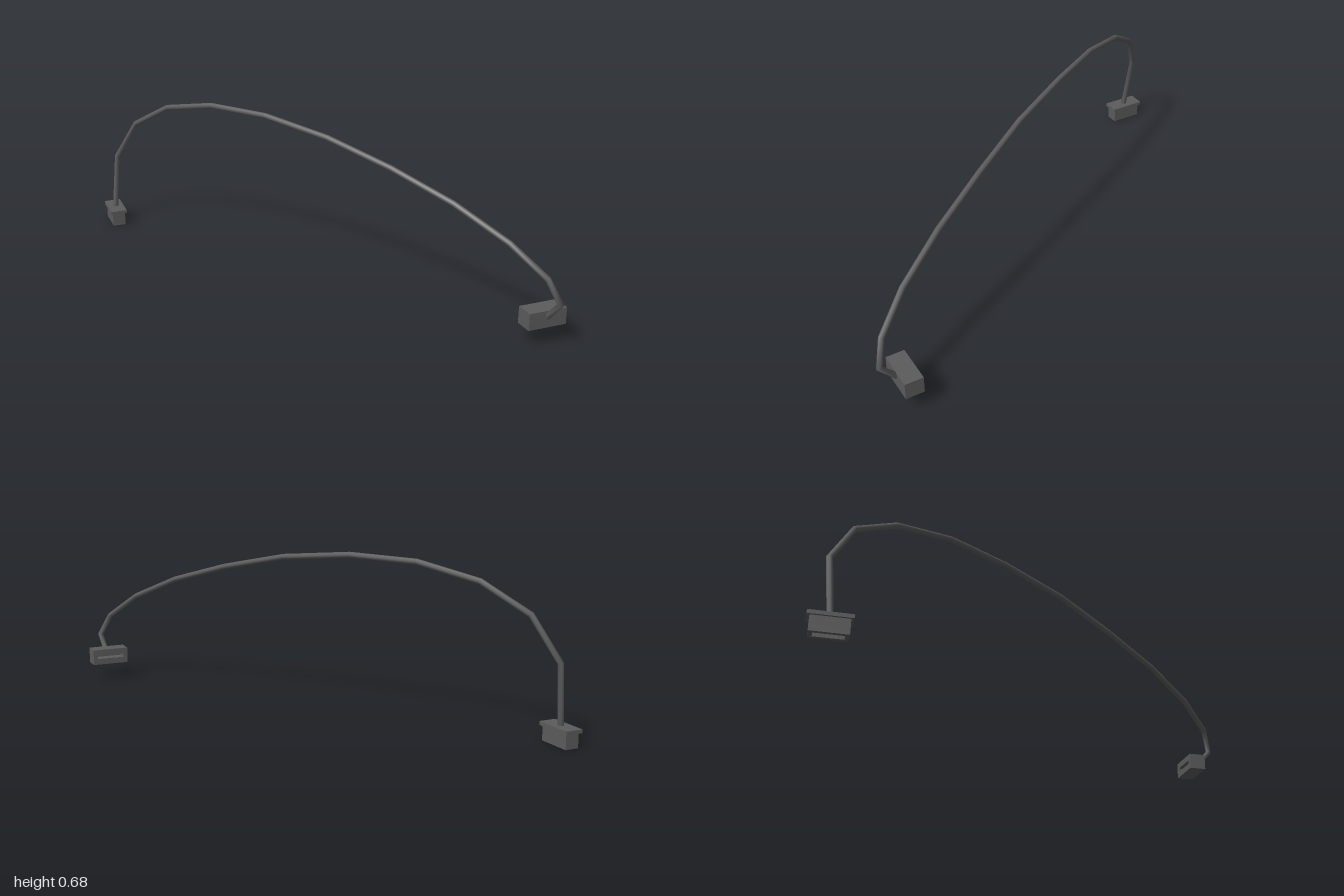
import * as THREE from 'three';

const material = new THREE.MeshStandardMaterial({ color: 0x5c5c5c });

// Curve that visits its points in equal parameter steps, keeping the bends angular
class BentPath extends THREE.Curve {
  constructor(points) {
    super();
    this.points = points;
  }
  getPointAt(u, target = new THREE.Vector3()) {
    return target.copy(this.points[Math.round(u * (this.points.length - 1))]);
  }
  getTangentAt(u, target = new THREE.Vector3()) {
    const p = this.points, n = p.length - 1, i = Math.round(u * n);
    const step = (a, b) => p[b].clone().sub(p[a]).normalize();
    target.set(0, 0, 0);
    if (i > 0) target.add(step(i - 1, i));
    if (i < n) target.add(step(i, i + 1));
    return target.normalize();
  }
}

function rectangle(Type, w, h) {
  return new Type([
    new THREE.Vector2(-w / 2, -h / 2), new THREE.Vector2(w / 2, -h / 2),
    new THREE.Vector2(w / 2, h / 2), new THREE.Vector2(-w / 2, h / 2),
  ]);
}

// Plug shell along z: solid back at +z, slotted mating face at -z
function createPlug(name, w, h, depth, slotW, slotH, slotDepth) {
  const plug = new THREE.Group();
  plug.name = name;

  const outline = rectangle(THREE.Shape, w, h);
  outline.holes.push(rectangle(THREE.Path, slotW, slotH));
  const shell = new THREE.Mesh(
    new THREE.ExtrudeGeometry(outline, { depth: slotDepth, bevelEnabled: false }), material);
  shell.name = 'slottedShell';
  shell.position.z = -depth / 2;

  const back = new THREE.Mesh(new THREE.BoxGeometry(w, h, depth - slotDepth), material);
  back.name = 'plugBack';
  back.position.z = slotDepth / 2;

  plug.add(shell, back);
  return plug;
}

export function createModel() {
  const model = new THREE.Group();
  model.name = 'cableWithPlugs';

  // Arched cable
  const points = [
    [-0.645, 0.065, -0.92], [-0.615, 0.32, -0.94], [-0.535, 0.495, -0.857],
    [-0.42, 0.605, -0.69], [-0.28, 0.66, -0.46], [-0.12, 0.667, -0.2],
    [0.045, 0.635, 0.09], [0.205, 0.57, 0.36], [0.35, 0.49, 0.61],
    [0.475, 0.39, 0.82], [0.565, 0.285, 0.95], [0.607, 0.19, 0.985],
    [0.598, 0.107, 0.912],
  ].map((p) => new THREE.Vector3(...p));
  const cable = new THREE.Mesh(
    new THREE.TubeGeometry(new BentPath(points), points.length - 1, 0.0125, 8), material);
  cable.name = 'cable';
  model.add(cable);

  // Front plug, mating face towards the back
  const frontPlug = createPlug('frontPlug', 0.163, 0.07, 0.075, 0.125, 0.016, 0.05);
  frontPlug.position.set(0.598, 0.105, 0.887);
  model.add(frontPlug);

  // Rear plug, mating face down, with a collar on top
  const rearPlug = createPlug('rearPlug', 0.058, 0.14, 0.06, 0.03, 0.11, 0.04);
  rearPlug.rotation.x = -Math.PI / 2;
  rearPlug.position.set(-0.644, 0.03, -0.92);
  const collar = new THREE.Mesh(new THREE.BoxGeometry(0.074, 0.16, 0.015), material);
  collar.name = 'collar';
  collar.position.z = 0.0375;
  rearPlug.add(collar);
  model.add(rearPlug);

  return model;
}
